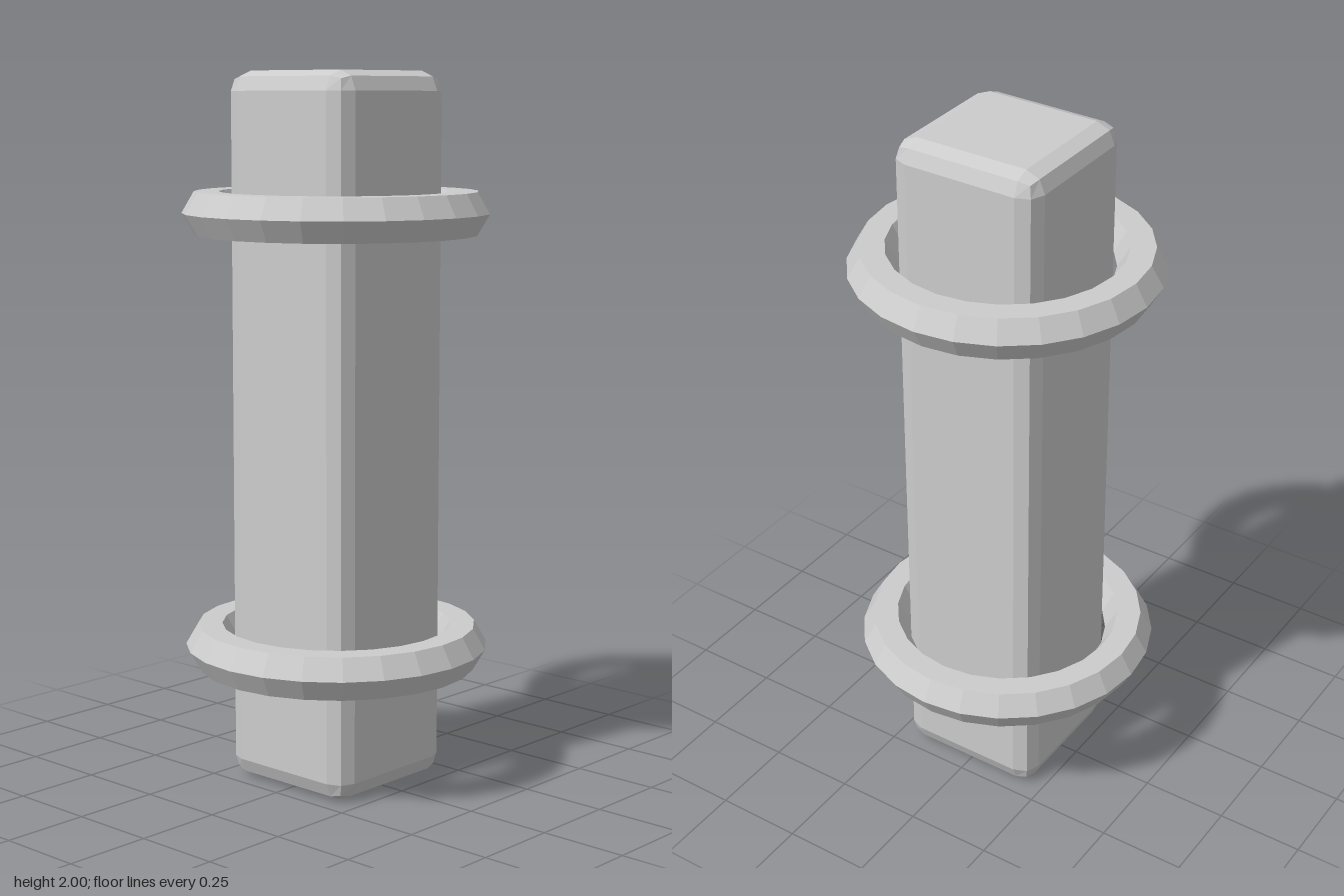
import * as THREE from 'three';
import { RoundedBoxGeometry } from 'three/addons/geometries/RoundedBoxGeometry.js';

export function createModel() {
  const model = new THREE.Group();
  model.name = 'ringedPost';

  const grey = new THREE.MeshStandardMaterial({ color: 0xcccccc, flatShading: true });
  grey.name = 'light grey';

  // Square post with a two-facet bevel on every edge
  const post = new THREE.Mesh(new RoundedBoxGeometry(0.442, 2, 0.442, 1, 0.055), grey);
  post.name = 'post';
  post.position.y = 1;
  model.add(post);

  // Two hexagonal-section rings around the post
  const ringGeometry = new THREE.TorusGeometry(0.36, 0.069, 6, 24).rotateX(Math.PI / 2);
  for (const [name, y] of [['lowerRing', 0.388], ['upperRing', 1.612]]) {
    const ring = new THREE.Mesh(ringGeometry, grey);
    ring.name = name;
    ring.position.y = y;
    model.add(ring);
  }

  return model;
}
